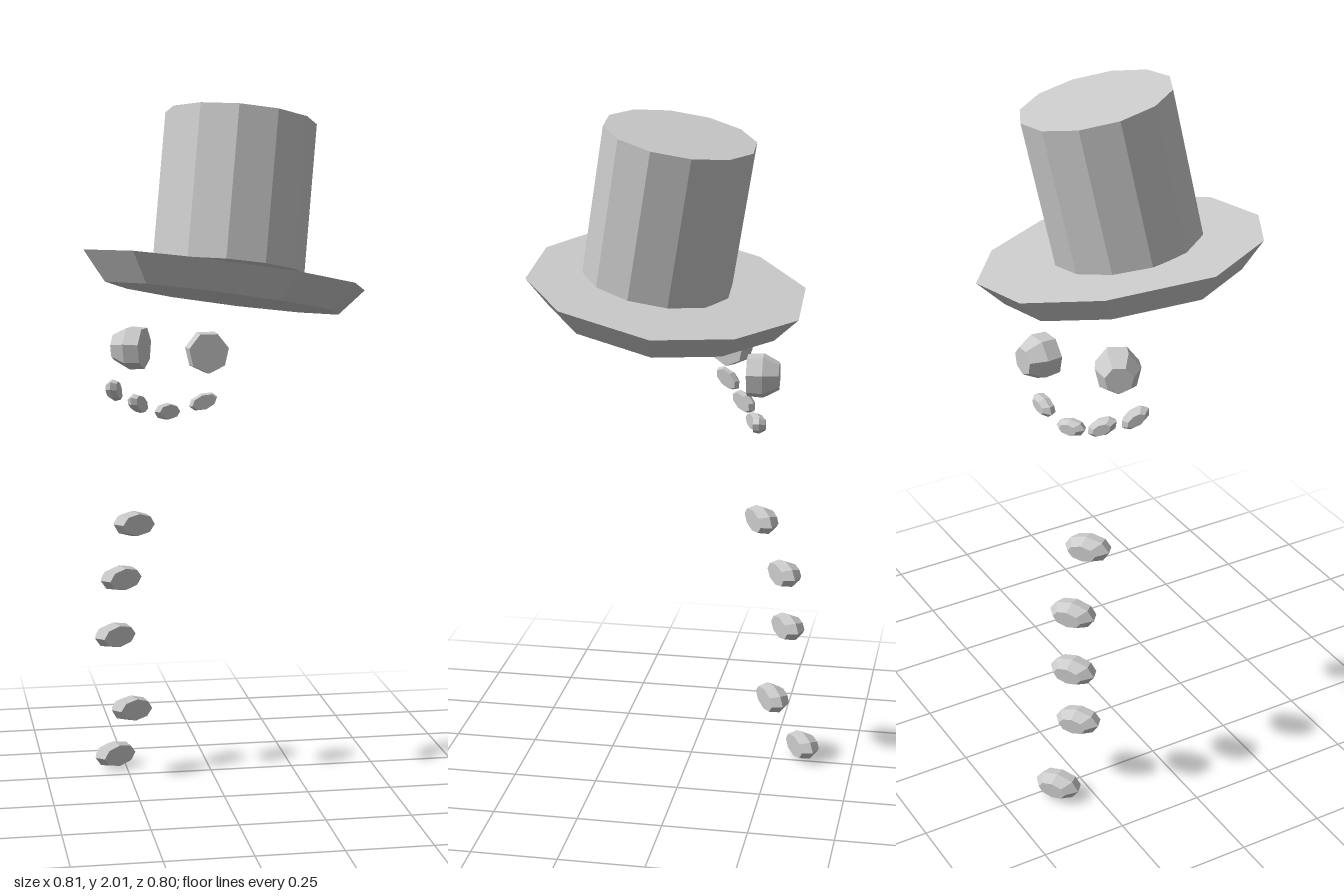
import * as THREE from 'three';

const material = new THREE.MeshStandardMaterial({ color: 0xcccccc, flatShading: true });

// Faceted pebble: unit radius, unit depth along z, flat back, bevelled front
function pebble(sides, back) {
  const profile = [[0, -0.5], [back, -0.5], [1, 0], [0.62, 0.5], [0, 0.5]];
  const g = new THREE.LatheGeometry(profile.map(([x, y]) => new THREE.Vector2(x, y)), sides);
  return g.rotateX(Math.PI / 2);
}

// Brim: tilted rim outline with a smaller outline below it
function brimGeometry() {
  const rim = [
    [-0.12, -0.345], [-0.30, -0.19], [-0.405, 0.08], [-0.295, 0.30], [-0.117, 0.40],
    [0.13, 0.40], [0.315, 0.265], [0.405, 0], [0.31, -0.21], [0.117, -0.355],
  ];
  const n = rim.length;
  const plane = (x, z) => 1.54 - 0.15 * x + 0.12 * z;
  const pos = [];
  for (const [x, z] of rim) pos.push(x, plane(x, z), z);
  for (const [x, z] of rim) {
    const lx = x * 0.83 - 0.01, lz = z * 0.83 + 0.01;
    pos.push(lx, plane(lx, lz) - 0.08, lz);
  }
  pos.push(0, plane(0, 0.025), 0.025, 0, plane(0, 0.025) - 0.08, 0.025);
  const index = [];
  for (let i = 0; i < n; i++) {
    const j = (i + 1) % n;
    index.push(2 * n, i, j); // top
    index.push(i, n + i, j, j, n + i, n + j); // sloping side
    index.push(2 * n + 1, n + j, n + i); // underside
  }
  const g = new THREE.BufferGeometry();
  g.setAttribute('position', new THREE.Float32BufferAttribute(pos, 3));
  g.setIndex(index);
  g.computeVertexNormals();
  return g;
}

export function createModel() {
  const model = new THREE.Group();

  // Hat
  const hat = new THREE.Group();
  hat.name = 'hat';
  const brim = new THREE.Mesh(brimGeometry(), material);
  brim.name = 'hatBrim';
  const crown = new THREE.Mesh(
    new THREE.CylinderGeometry(0.212, 0.212, 0.42, 12, 1, false, THREE.MathUtils.degToRad(18.5)), material);
  crown.name = 'hatCrown';
  crown.position.set(0.026, 1.758, 0.018);
  crown.quaternion.setFromUnitVectors(
    new THREE.Vector3(0, 1, 0), new THREE.Vector3(0.117, 1, -0.178).normalize());
  hat.add(brim, crown);
  model.add(hat);

  // Stones: position, outward heading, roll, half width, half height, depth
  const addStone = (name, geometry, [x, y, z], heading, roll, size) => {
    const mesh = new THREE.Mesh(geometry, material);
    mesh.name = name;
    mesh.position.set(x, y, z);
    mesh.rotation.set(0, heading, roll, 'YXZ');
    mesh.scale.set(...size);
    model.add(mesh);
  };

  // Eyes
  const eyeShape = pebble(7, 0.95);
  addStone('rightEye', eyeShape, [-0.255, 1.315, -0.125], -2.03, 0, [0.064, 0.064, 0.09]);
  addStone('leftEye', eyeShape, [-0.015, 1.285, -0.243], -3.08, 0, [0.064, 0.064, 0.09]);

  // Mouth
  const stoneShape = pebble(8, 0.85);
  [
    [[-0.305, 1.195, -0.10], -1.95, 0.65],
    [[-0.23, 1.147, -0.16], -2.2, 0.5],
    [[-0.138, 1.115, -0.207], -2.6, 0.05],
    [[-0.025, 1.138, -0.232], -3.05, -0.3],
  ].forEach(([p, heading, roll], i) =>
    addStone(`mouthStone${i + 1}`, stoneShape, p, heading, roll, [0.045, 0.025, 0.035]));

  // Buttons
  [
    [-0.24, 0.782, -0.215], [-0.272, 0.604, -0.282], [-0.29, 0.426, -0.293],
    [-0.246, 0.207, -0.255], [-0.287, 0.038, -0.345],
  ].forEach((p, i) =>
    addStone(`button${i + 1}`, stoneShape, p, -2.59, i % 3 ? 0 : 0.08, [0.07, 0.038, 0.065]));

  return model;
}
